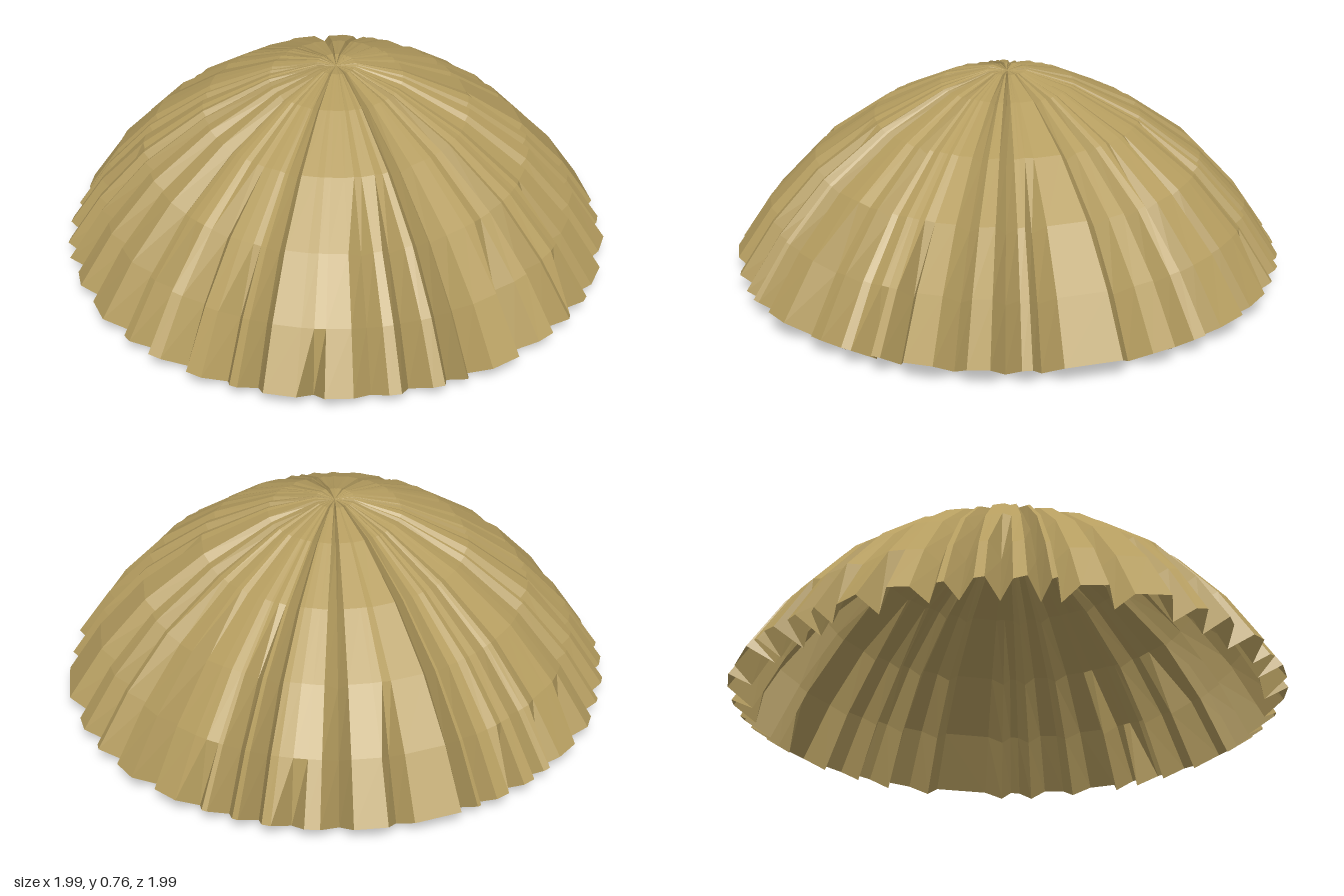
import * as THREE from 'three';

// Seeded random numbers for the irregular folds
function seeded(seed) {
  return () => {
    seed = (seed * 1664525 + 1013904223) % 4294967296;
    return seed / 4294967296;
  };
}

// Dome profile from apex to rim: radius, height, fold strength
const RINGS = [
  [0, 0.768, 0], [0.07, 0.774, 0.12], [0.24, 0.73, 0.22], [0.48, 0.615, 0.36],
  [0.7, 0.458, 0.55], [0.87, 0.275, 0.8], [1, 0.083, 1],
];

// Directions of the valleys in degrees, from +x towards -z
const VALLEYS = [
  4, 12, 23.5, 35.5, 42, 48.5, 56, 66, 78, 93, 96, 104, 110.5, 115, 126, 137, 143, 151,
  159, 163, 174, 187.5, 196, 205, 215.5, 222, 234, 246, 254.5, 263, 267.5, 281, 291,
  298.5, 304, 316, 326.5, 334, 353,
];

// A sharp valley followed by a ridge with two edges, wide or narrow
function makeColumns() {
  const rand = seeded(5);
  const columns = [];
  VALLEYS.forEach((valley, i) => {
    const gap = (VALLEYS[i + 1] ?? VALLEYS[0] + 360) - valley;
    const start = [0, 0, 3, 4, 5][Math.floor(rand() * 5)]; // ring where the valley begins
    const side = Math.min(gap * 0.38, 3.4);
    columns.push({ angle: valley, depth: 0.085 + 0.045 * rand(), start });
    columns.push({ angle: valley + side * (0.75 + 0.4 * rand()), depth: 0.03 * rand(), start: 0 });
    columns.push({ angle: valley + gap - side * (0.75 + 0.4 * rand()), depth: 0.02 * rand(), start: 0 });
  });
  return columns;
}

function makeDome() {
  const columns = makeColumns();
  const n = columns.length;
  const positions = [];
  const indices = [];
  RINGS.forEach(([radius, height, strength], i) => {
    // Outward direction of the profile at this ring
    const a = RINGS[Math.max(i - 1, 0)];
    const b = RINGS[Math.min(i + 1, RINGS.length - 1)];
    const len = Math.hypot(b[0] - a[0], b[1] - a[1]);
    const nr = (a[1] - b[1]) / len;
    const ny = (b[0] - a[0]) / len;
    for (const c of columns) {
      const d = i > c.start ? c.depth * strength : 0;
      const r = Math.max(radius - nr * d, 0);
      const t = THREE.MathUtils.degToRad(c.angle);
      positions.push(Math.cos(t) * r, height - ny * d, -Math.sin(t) * r);
    }
  });
  for (let i = 0; i < RINGS.length - 1; i++) {
    for (let j = 0; j < n; j++) {
      const k = (j + 1) % n;
      const p = i * n + j, q = i * n + k, s = p + n, t = q + n;
      if (i > 0) indices.push(p, s, q);
      indices.push(q, s, t);
    }
  }
  const geometry = new THREE.BufferGeometry();
  geometry.setAttribute('position', new THREE.Float32BufferAttribute(positions, 3));
  geometry.setIndex(indices);
  const faceted = geometry.toNonIndexed();
  faceted.computeVertexNormals();
  return faceted;
}

export function createModel() {
  const straw = new THREE.MeshStandardMaterial({
    color: 0xb59d5f, flatShading: true, side: THREE.DoubleSide,
  });
  straw.name = 'straw';
  const group = new THREE.Group();
  group.name = 'thatchedRoof';

  // Pleated thatch shell, open underneath
  const dome = new THREE.Mesh(makeDome(), straw);
  dome.name = 'thatchDome';
  group.add(dome);
  return group;
}
